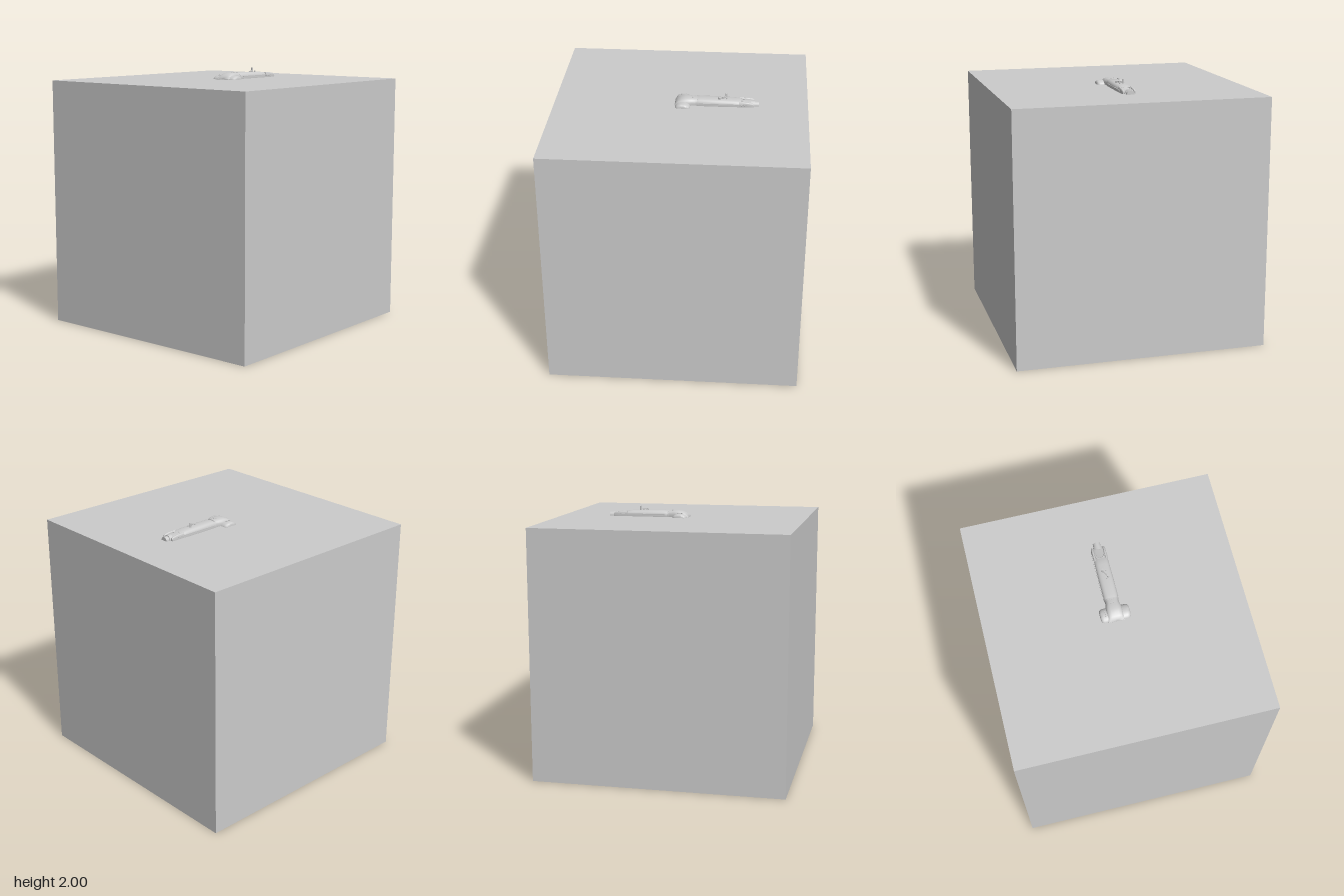
import * as THREE from 'three';
import { toCreasedNormals } from 'three/addons/utils/BufferGeometryUtils.js';

const TOP = 1.92;
const material = new THREE.MeshStandardMaterial({ color: 0xcccccc });

function add(parent, name, geometry, x = 0, y = 0, z = 0) {
  const mesh = new THREE.Mesh(geometry, material);
  mesh.name = name;
  mesh.position.set(x, y, z);
  parent.add(mesh);
  return mesh;
}

// Closed skin along x; each section is [x, half width, height above the block]
function loft(sections, power = 0.65, sink = 0.02, n = 24) {
  const pos = [], index = [];
  const bend = (v) => Math.sign(v) * Math.abs(v) ** power;
  for (const [x, w, h] of sections) {
    for (let j = 0; j < n; j++) {
      const a = (j / n) * Math.PI * 2, s = bend(Math.sin(a));
      pos.push(x, s > 0 ? s * h : s * sink, bend(Math.cos(a)) * w);
    }
  }
  const last = sections.length - 1;
  for (let i = 0; i < last; i++) {
    for (let j = 0; j < n; j++) {
      const k = (j + 1) % n, a = i * n + j, b = i * n + k, c = a + n, d = b + n;
      index.push(a, c, b, b, c, d);
    }
  }
  // End caps
  for (const i of [0, last]) {
    const centre = pos.length / 3;
    pos.push(sections[i][0], 0, 0);
    for (let j = 0; j < n; j++) {
      const a = i * n + j, b = i * n + (j + 1) % n;
      index.push(centre, ...(i ? [b, a] : [a, b]));
    }
  }
  const g = new THREE.BufferGeometry();
  g.setAttribute('position', new THREE.Float32BufferAttribute(pos, 3));
  g.setIndex(index);
  return toCreasedNormals(g, 0.6);
}

export function createModel() {
  const model = new THREE.Group();
  model.name = 'blockWithArm';

  // Large cube
  add(model, 'block', new THREE.BoxGeometry(1.92, TOP, 1.92), 0, TOP / 2, 0);

  const arm = new THREE.Group();
  arm.name = 'arm';
  arm.position.y = TOP;
  model.add(arm);

  // Crosswise head flowing into the neck
  add(arm, 'headBody', loft([
    [-0.046, 0.06, 0.004], [-0.036, 0.062, 0.02], [-0.02, 0.063, 0.034], [0.005, 0.063, 0.046],
    [0.035, 0.062, 0.052], [0.065, 0.058, 0.051], [0.085, 0.052, 0.05], [0.118, 0.049, 0.048],
  ]));

  // Rounded end drums of the head
  const drum = [[0, 0.054], [0.035, 0.054], [0.048, 0.05], [0.056, 0.042], [0.059, 0.03], [0.059, 0]]
    .map(([d, r]) => new THREE.Vector2(r, d));
  for (const side of [-1, 1]) {
    const geometry = toCreasedNormals(new THREE.LatheGeometry(drum, 32), 0.6);
    const mesh = add(arm, 'headDrum', geometry, 0.016, -0.005, side * 0.052);
    mesh.rotation.x = side * Math.PI / 2;
    mesh.scale.set(1.06, 1, 0.64);
  }

  // Small clip on the rear drum
  add(arm, 'clipBar', new THREE.BoxGeometry(0.045, 0.006, 0.006), 0.016, 0.03, -0.07);
  for (const x of [0, 0.03]) {
    add(arm, 'clipStud', new THREE.CylinderGeometry(0.005, 0.005, 0.012, 10), x, 0.029, -0.07);
  }

  // Collar and long tapering handle
  add(arm, 'collar', loft([[0.112, 0.051, 0.05], [0.124, 0.051, 0.05]]));
  add(arm, 'handle', loft([
    [0.12, 0.053, 0.046], [0.15, 0.056, 0.05], [0.28, 0.057, 0.048], [0.4, 0.056, 0.045],
    [0.45, 0.054, 0.04], [0.47, 0.053, 0.031], [0.53, 0.049, 0.027], [0.548, 0.044, 0.021],
  ]));

  // Side rails along the handle
  for (const side of [-1, 1]) {
    add(arm, 'sideRail', new THREE.BoxGeometry(0.36, 0.008, 0.006), 0.32, 0.018, side * 0.056);
  }

  // Fork around the socket at the far end
  for (const side of [-1, 1]) {
    const cheek = add(arm, 'forkCheek', loft([
      [0.44, 0.01, 0.04], [0.5, 0.011, 0.036], [0.54, 0.01, 0.031], [0.554, 0.006, 0.022],
    ]), 0, 0, side * 0.044);
    cheek.rotation.y = 0;
  }
  const bow = add(arm, 'forkBow', new THREE.TorusGeometry(0.032, 0.006, 8, 20, Math.PI), 0.485, 0.033, 0);
  bow.rotation.set(Math.PI / 2, 0, Math.PI / 2);

  // Stepped tip
  for (const [name, x, length, r] of [['tipSocket', 0.545, 0.03, 0.034], ['tip', 0.572, 0.038, 0.028]]) {
    const part = add(arm, name, new THREE.CylinderGeometry(r, r, length, 24), x, 0, 0);
    part.rotation.z = Math.PI / 2;
  }

  // Controls on the handle: [x, z, radius, top]
  const studs = [
    [0.342, -0.012, 0.008, 0.08], [0.295, 0.02, 0.01, 0.06], [0.32, 0.008, 0.007, 0.062],
    [0.285, 0.006, 0.006, 0.055], [0.345, 0.012, 0.006, 0.057], [0.085, -0.012, 0.005, 0.053], [0.088, 0.008, 0.005, 0.053],
  ];
  for (const [x, z, r, top] of studs) {
    add(arm, 'stud', new THREE.CylinderGeometry(r, r, top - 0.03, 12), x, (top + 0.03) / 2, z);
  }
  const lever = add(arm, 'lever', new THREE.BoxGeometry(0.06, 0.007, 0.009), 0.315, 0.056, 0.006);
  lever.rotation.y = 0.5;

  // Small buttons on the front flank
  for (const x of [0.44, 0.46, 0.48]) {
    add(arm, 'sideButton', new THREE.SphereGeometry(0.006, 10, 8), x, 0.016, 0.055);
  }
  return model;
}
